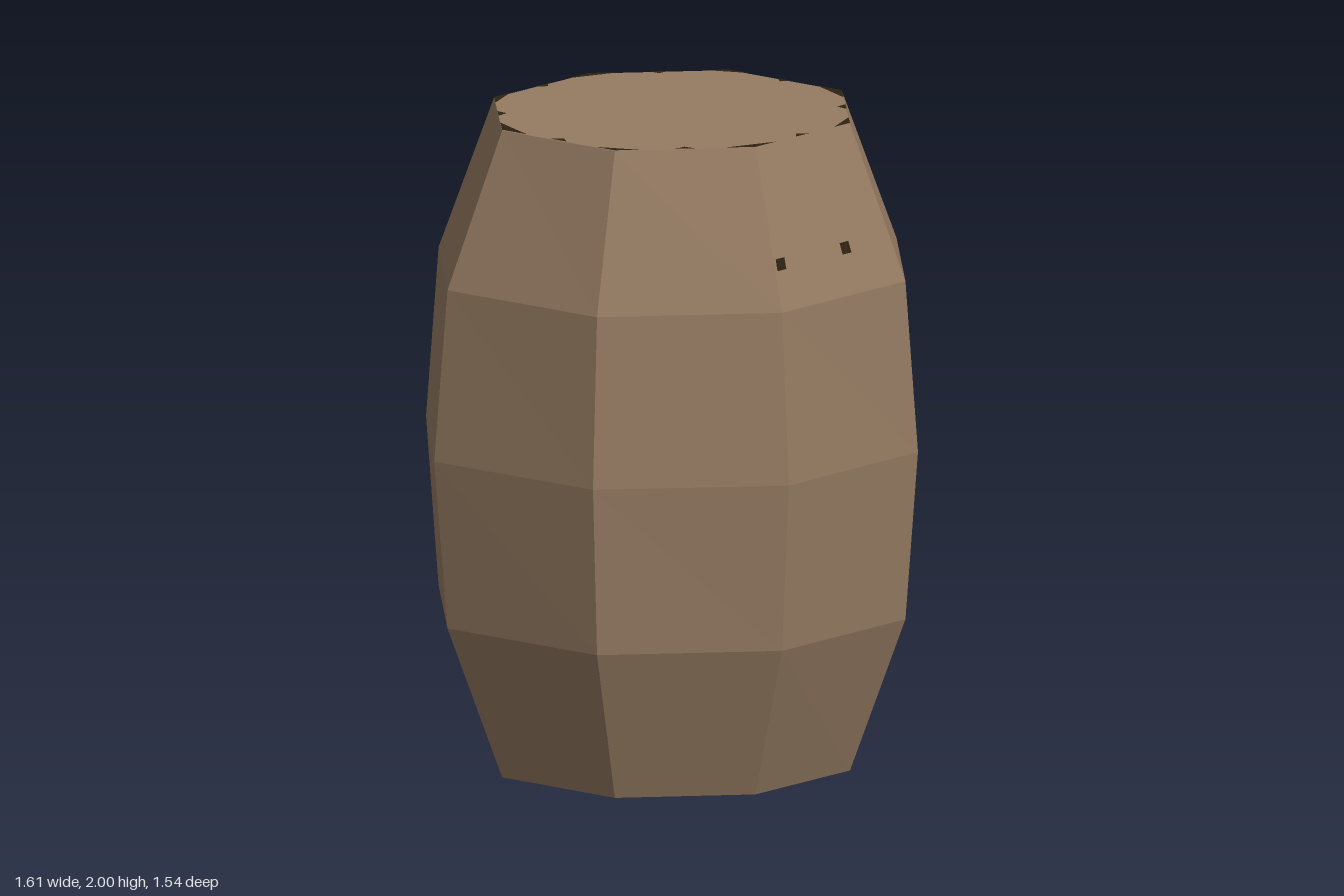
import * as THREE from 'three';

const SIDES = 8;
// Each ring: height, x radius, z radius, diagonal corner offset
const RINGS = [
  [0, 0.575, 0.55, 0.398],
  [0.48, 0.76, 0.725, 0.522],
  [1, 0.805, 0.77, 0.55],
  [1.525, 0.76, 0.725, 0.522],
  [2, 0.575, 0.55, 0.398],
];

// Corner i of a ring, running from +x towards +z
function corner([y, rx, rz, d], i) {
  const a = ((i % SIDES) * Math.PI) / 4;
  const c = Math.cos(a), s = Math.sin(a);
  if (i % 2) return new THREE.Vector3(Math.sign(c) * d, y, Math.sign(s) * d);
  return new THREE.Vector3(Math.round(c) * rx, y, Math.round(s) * rz);
}

function meshFrom(name, points, material) {
  const geometry = new THREE.BufferGeometry().setFromPoints(points);
  geometry.computeVertexNormals();
  const mesh = new THREE.Mesh(geometry, material);
  mesh.name = name;
  return mesh;
}

// Point on the side wall: face i, fraction u across it, height y
function wallPoint(i, u, y) {
  let j = 0;
  while (j < RINGS.length - 2 && y > RINGS[j + 1][0]) j++;
  const low = RINGS[j], high = RINGS[j + 1];
  const t = (y - low[0]) / (high[0] - low[0]);
  const left = corner(low, i).lerp(corner(high, i), t);
  const right = corner(low, i + 1).lerp(corner(high, i + 1), t);
  return left.lerp(right, u);
}

export function createModel() {
  const barrel = new THREE.Group();
  barrel.name = 'barrel';
  const wood = new THREE.MeshStandardMaterial({ name: 'brown wood', color: 0x957b62, flatShading: true });
  const dark = new THREE.MeshStandardMaterial({ name: 'dark wood', color: 0x2c2212, flatShading: true });

  // Bulging staves
  const staves = [];
  for (let j = 0; j < RINGS.length - 1; j++) {
    for (let i = 0; i < SIDES; i++) {
      const a = corner(RINGS[j], i), b = corner(RINGS[j], i + 1);
      const c = corner(RINGS[j + 1], i + 1), d = corner(RINGS[j + 1], i);
      staves.push(a, d, c, a, c, b);
    }
  }
  barrel.add(meshFrom('staves', staves, wood));

  // Flat ends with dark worn corners and small chips along the rim
  for (const [ring, up, label] of [[RINGS[4], 1, 'top'], [RINGS[0], -1, 'bottom']]) {
    const end = [], worn = [];
    const add = (list, a, b, c) => (up > 0 ? list.push(a, b, c) : list.push(a, c, b));
    const lift = (p) => p.setY(ring[0] + up * 0.002);
    for (let i = 0; i < SIDES; i++) {
      const p = corner(ring, i), next = corner(ring, i + 1), prev = corner(ring, i + SIDES - 1);
      add(end, new THREE.Vector3(0, ring[0], 0), next, p);
      const size = i % 2 ? 0.17 : 0.22;
      add(worn, lift(p.clone()), lift(p.clone().lerp(prev, size)), lift(p.clone().lerp(next, size)));
      const chip = p.clone().lerp(next, 0.5).multiplyScalar(0.95);
      add(worn, lift(chip), lift(p.clone().lerp(next, 0.57)), lift(p.clone().lerp(next, 0.43)));
    }
    barrel.add(meshFrom(label + 'End', end, wood), meshFrom(label + 'WornRim', worn, dark));
  }

  // Small dark nail marks: face, fraction across, height
  const nails = [];
  for (const [i, u, y] of [[1, 0.95, 1.66], [1, 0.39, 1.66], [5, 0.95, 1.66], [5, 0.95, 0.32], [6, 0.5, 0.3]]) {
    const q = [[-1, -1], [-1, 1], [1, 1], [1, -1]].map(([du, dy]) => wallPoint(i, u + du * 0.038, y + dy * 0.017));
    const normal = q[1].clone().sub(q[0]).cross(q[2].clone().sub(q[0])).normalize();
    q.forEach((p) => p.addScaledVector(normal, 0.003));
    nails.push(q[0], q[1], q[2], q[0], q[2], q[3]);
  }
  barrel.add(meshFrom('nailMarks', nails, dark));

  return barrel;
}
